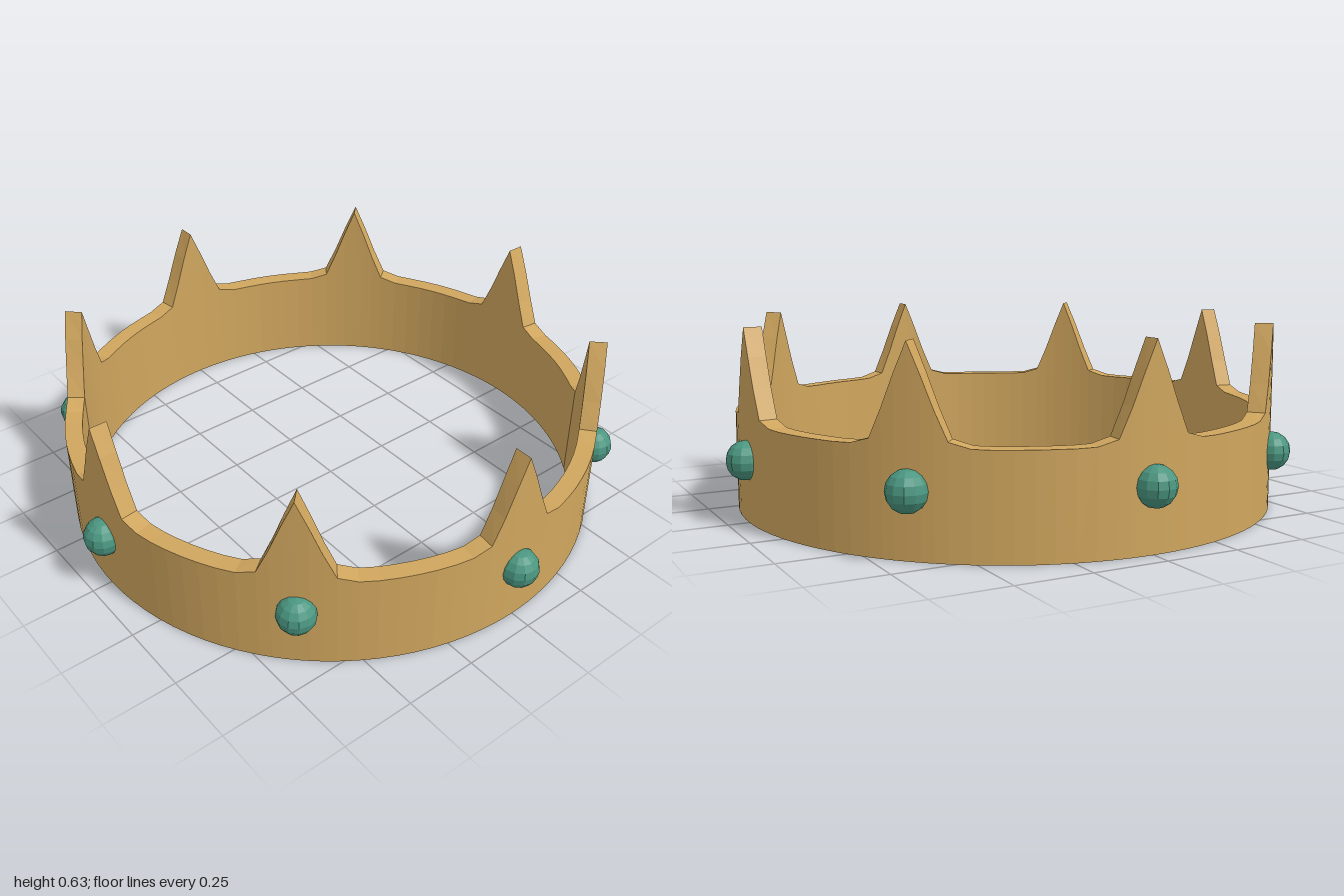
import * as THREE from 'three';

const OUTER = 0.93, INNER = 0.87, POINTS = 8;

// Half of one crown point: [angle from its tip, rim height]
const rim = [[0, 0.632], [0.043, 0.54], [0.086, 0.44], [0.13, 0.35], [0.2, 0.332], [0.265, 0.33], [0.33, 0.33]];

// Closed band with a pointed rim, built from four-cornered radial sections
function bandGeometry() {
  const period = (Math.PI * 2) / POINTS;
  const sections = [];
  for (let p = 0; p < POINTS; p++) {
    const add = (a, h) => sections.push([p * period + a, h]);
    rim.slice(1).reverse().forEach(([a, h]) => add(-a, h));
    rim.forEach(([a, h]) => add(a, h));
    add(period / 2, 0.33);
  }
  const pos = [];
  const corners = ([a, h]) => [[OUTER, 0], [OUTER, h], [INNER, h], [INNER, 0]]
    .map(([r, y]) => [r * Math.sin(a), y, r * Math.cos(a)]);
  sections.forEach((s, i) => {
    const A = corners(s), B = corners(sections[(i + 1) % sections.length]);
    for (let k = 0; k < 4; k++) {
      const n = (k + 1) % 4;
      pos.push(...A[k], ...B[k], ...B[n], ...A[k], ...B[n], ...A[n]);
    }
  });
  const g = new THREE.BufferGeometry();
  g.setAttribute('position', new THREE.Float32BufferAttribute(pos, 3));
  g.computeVertexNormals();
  return g;
}

export function createModel() {
  const crown = new THREE.Group();
  crown.name = 'crown';

  const gold = new THREE.MeshStandardMaterial({ color: 0xd0a65e });
  const green = new THREE.MeshStandardMaterial({ color: 0x4a9680, flatShading: true });

  const band = new THREE.Mesh(bandGeometry(), gold);
  band.name = 'pointedBand';
  crown.add(band);

  // One round gem below each point
  const gems = new THREE.Group();
  gems.name = 'gems';
  const gemGeometry = new THREE.SphereGeometry(0.065, 12, 8);
  for (let i = 0; i < POINTS; i++) {
    const a = (i / POINTS) * Math.PI * 2;
    const gem = new THREE.Mesh(gemGeometry, green);
    gem.name = 'gem';
    gem.position.set(0.935 * Math.sin(a), 0.206, 0.935 * Math.cos(a));
    gems.add(gem);
  }
  crown.add(gems);
  return crown;
}
